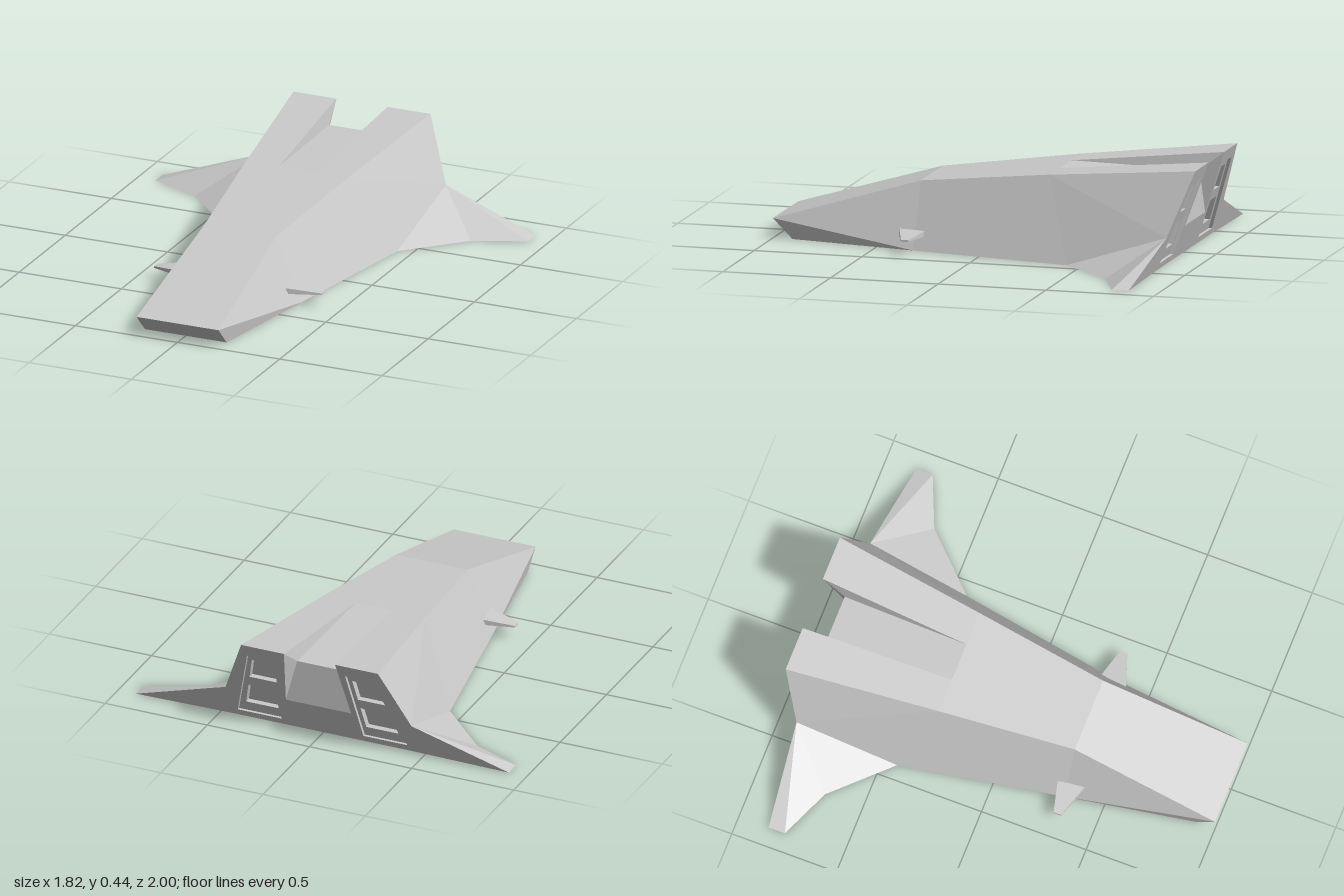
import * as THREE from 'three';

const material = new THREE.MeshStandardMaterial({ color: 0xcccccc, flatShading: true });
const v = (x, y, z) => new THREE.Vector3(x, y, z);

// Collects flat polygons of the +x half and turns them into a mesh with both halves.
class HalfShell {
  constructor() { this.tris = []; }

  // Convex polygon, counterclockwise from outside; an optional outward hint fixes the winding.
  face(points, hint) {
    for (let i = 1; i < points.length - 1; i++) {
      let [a, b, c] = [points[0], points[i], points[i + 1]];
      if (hint) {
        const n = b.clone().sub(a).cross(c.clone().sub(a));
        if (n.dot(hint) < 0) [b, c] = [c, b];
      }
      this.tris.push([a, b, c]);
    }
  }

  mesh(name) {
    const pos = [];
    for (const [a, b, c] of this.tris) {
      for (const p of [a, b, c]) pos.push(p.x, p.y, p.z);
      for (const p of [a, c, b]) pos.push(-p.x, p.y, p.z);
    }
    const geo = new THREE.BufferGeometry();
    geo.setAttribute('position', new THREE.Float32BufferAttribute(pos, 3));
    geo.computeVertexNormals();
    const mesh = new THREE.Mesh(geo, material);
    mesh.name = name;
    return mesh;
  }
}

// Places an [x, y] point on the raked stern plane, sunk forward by inset.
const stern = ([x, y], inset = 0) => v(x, y, -0.848 - 0.345 * y + inset);

// Stern plate with holes, plus the walls of each hole down to the next plate.
function sternPlate(shell, outline, holes, inset, holeDepth) {
  const flat = (loop) => loop.map(([x, y]) => new THREE.Vector2(x, y));
  const all = [outline, ...holes].flat();
  const faces = THREE.ShapeUtils.triangulateShape(flat(outline), holes.map(flat));
  for (const f of faces) shell.face(f.map((i) => stern(all[i], inset)), v(0, 0, -1));
  for (const hole of holes) {
    const centre = hole.reduce((s, p) => s.add(stern(p, inset)), v(0, 0, 0)).divideScalar(hole.length);
    hole.forEach((p, i) => {
      const q = hole[(i + 1) % hole.length];
      const mid = stern(p, inset).add(stern(q, inset)).multiplyScalar(0.5);
      shell.face([stern(p, inset), stern(q, inset), stern(q, inset + holeDepth), stern(p, inset + holeDepth)],
        centre.clone().sub(mid));
    });
  }
}

export function createModel() {
  const group = new THREE.Group();
  group.name = 'spacecraft';

  // Corner points, from nose to stern
  const noseTop = v(0.2, 0.09, 1), noseLow = v(0.2, 0, 0.91);
  const crease = v(0.175, 0.295, 0.32), creaseLow = v(0.3, 0, 0.32);
  const mid = v(0.25, 0.37, -0.3), midLow = v(0.43, 0, -0.43);
  const notchFront = v(0.09, 0.37, -0.3), notchBack = v(0.11, 0.355, -0.89);
  const ridgeIn = stern([0.125, 0.44]), ridgeOut = stern([0.335, 0.44]);
  const shelf = stern([0.16, 0.155]), wingRoot = stern([0.455, 0.155]);
  const sternIn = stern([0.17, 0]), sternOut = stern([0.43, 0]);
  const c = (p) => v(0, p.y, p.z); // same point on the centre line

  // Hull
  const hull = new HalfShell();
  hull.face([c(noseLow), noseLow, noseTop, c(noseTop)]);
  hull.face([c(noseTop), noseTop, crease, c(crease)]);
  hull.face([c(crease), crease, mid, notchFront, c(notchFront)]);
  hull.face([notchFront, mid, ridgeOut, ridgeIn]);
  hull.face([noseTop, noseLow, creaseLow, crease]);
  hull.face([crease, creaseLow, midLow, mid]);
  hull.face([mid, midLow, wingRoot, ridgeOut]);
  hull.face([c(noseLow), c(sternIn), sternOut, midLow, noseLow]);
  group.add(hull.mesh('hull'));

  // Notch between the two rear ridges, and the stern below it
  const notch = new HalfShell();
  notch.face([c(notchFront), notchFront, notchBack, c(notchBack)]);
  notch.face([notchFront, ridgeIn, notchBack]);
  notch.face([ridgeIn, shelf, notchBack]);
  notch.face([c(notchBack), notchBack, shelf, c(shelf)]);
  notch.face([c(shelf), shelf, sternIn, c(sternIn)]);
  group.add(notch.mesh('rearNotch'));

  // Engine sterns: sunken panel with two deeper exhaust vents
  const engines = new HalfShell();
  const outline = [ridgeIn, ridgeOut, wingRoot, sternOut, sternIn, shelf].map((p) => [p.x, p.y]);
  const panel = [[0.165, 0.38], [0.315, 0.38], [0.415, 0.03], [0.2, 0.03]];
  const vents = [[0.35, 0.24], [0.19, 0.08]].map(([top, low]) => {
    const inner = (y) => [0.185 + 0.1 * (0.38 - y), y];
    const outer = (y) => [0.295 + 0.26 * (0.38 - y), y];
    return [inner(top), outer(top), outer(low), inner(low)];
  });
  sternPlate(engines, outline, [panel], 0, 0.015);
  sternPlate(engines, panel, vents, 0.015, 0.03);
  for (const vent of vents) sternPlate(engines, vent, [], 0.045, 0);
  group.add(engines.mesh('engineSterns'));

  // Wings
  const wings = new HalfShell();
  const bend = v(0.675, 0, -0.68), tipFront = v(0.912, 0, -0.78), tipBack = v(0.912, 0, -0.858);
  wings.face([wingRoot, midLow, bend, tipFront, tipBack]);
  wings.face([wingRoot, tipBack, sternOut]);
  wings.face([bend, midLow, sternOut, tipBack, tipFront]);
  group.add(wings.mesh('wings'));

  // Small tapered fins near the nose
  for (const side of [1, -1]) {
    const geo = new THREE.BoxGeometry(1, 1, 1);
    const p = geo.attributes.position;
    for (let i = 0; i < p.count; i++) {
      const tip = p.getX(i) * side > 0, top = p.getY(i) > 0, front = p.getZ(i) > 0;
      p.setXYZ(i, side * (tip ? 0.41 : 0.25), top ? (tip ? 0.068 : 0.088) : 0.06,
        front ? (tip ? 0.345 : 0.4) : (tip ? 0.31 : 0.27));
    }
    geo.computeVertexNormals();
    const fin = new THREE.Mesh(geo, material);
    fin.name = side > 0 ? 'leftFin' : 'rightFin';
    group.add(fin);
  }

  return group;
}
